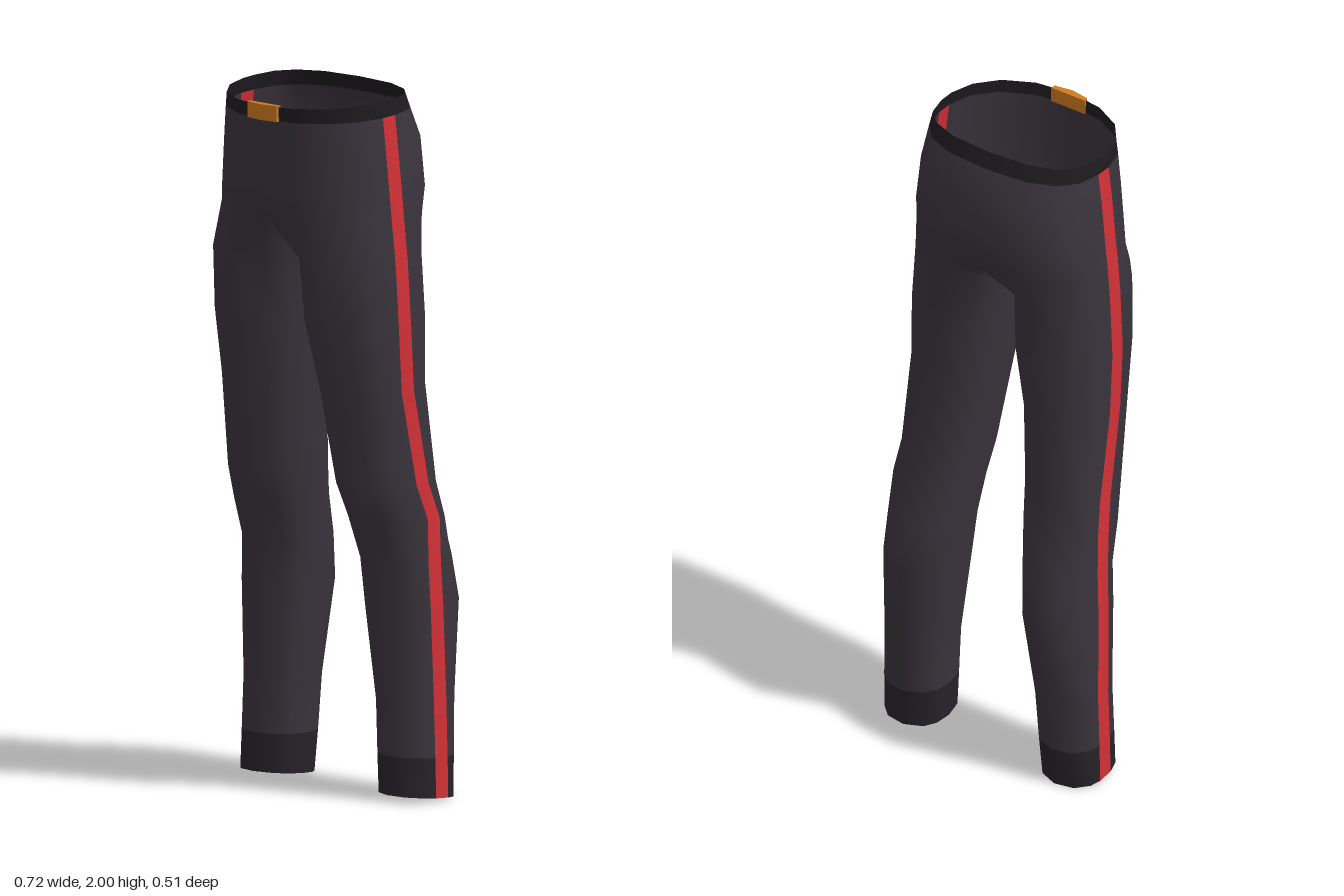
import * as THREE from 'three';
import { mergeVertices } from 'three/addons/utils/BufferGeometryUtils.js';

// Rows from waist to hem: [y front, y back, x inner, x outer, z front, z back, z of side stripe]
const HIPS = [
  [1.975, 2.0, 0, 0.265, 0.25, -0.15, 0.02],
  [1.935, 1.955, 0, 0.272, 0.248, -0.17, 0.02],
  [1.85, 1.86, 0, 0.283, 0.245, -0.217, 0.02],
  [1.72, 1.72, 0, 0.297, 0.242, -0.225, 0.018],
  [1.66, 1.64, 0, 0.305, 0.235, -0.2, 0.018],
];
const LEG = [
  [1.54, 1.54, 0.018, 0.315, 0.213, -0.16, 0.015],
  [1.36, 1.36, 0.025, 0.325, 0.195, -0.165, 0.012],
  [1.17, 1.17, 0.055, 0.325, 0.155, -0.155, 0],
  [0.9, 0.9, 0.085, 0.33, 0.12, -0.178, -0.055],
  [0.8, 0.8, 0.095, 0.345, 0.08, -0.19, -0.085],
  [0.68, 0.68, 0.11, 0.345, 0.035, -0.23, -0.088],
  [0.55, 0.55, 0.125, 0.35, 0.03, -0.255, -0.092],
  [0.28, 0.28, 0.155, 0.355, 0.01, -0.22, -0.1],
  [0.13, 0.12, 0.163, 0.36, 0.013, -0.21, -0.1],
  [0.02, 0, 0.17, 0.363, 0.015, -0.2, -0.1],
];
// Column angles; 0 marks the two edges of the side stripe
const HIP_ANGLES = [90, 68, 45, 24, 0, 0, -24, -45, -68, -90];
const LEG_ANGLES = [130, 95, 62, 32, 0, 0, -32, -62, -95, -130, -155, -180, -205];
const CROTCH = [[0, 1.6, -0.11], [0, 1.585, 0.02], [0, 1.6, 0.14]];
const STRIPE = 4; // stripe column
const STRIPE_HALF = 0.025;

function ring([yf, yb, xi, xo, zf, zb, zs], angles, isLeg) {
  const cx = isLeg ? (xi + xo) / 2 : 0;
  const rx = xo - cx;
  return angles.map((deg, c) => {
    let a = THREE.MathUtils.degToRad(deg);
    if (c === STRIPE) a = Math.asin(STRIPE_HALF / (zf - zs));
    if (c === STRIPE + 1) a = -Math.asin(STRIPE_HALF / (zs - zb));
    const s = Math.sin(a), k = Math.cos(a);
    // the seat is squarer than the front
    const p = deg === 0 ? 1 : s > 0 ? 0.92 : isLeg ? 0.9 : 0.75;
    const pow = (v) => Math.sign(v) * Math.abs(v) ** p;
    const z = zs + pow(s) * (s > 0 ? zf - zs : zs - zb);
    return [cx + pow(k) * rx, THREE.MathUtils.lerp(yb, yf, (z - zb) / (zf - zb)), z];
  });
}

// One skin for both halves, sorted into coloured parts that share smooth normals
function buildSkin() {
  const rows = [
    ...HIPS.map((r) => ring(r, HIP_ANGLES, false)),
    ...LEG.map((r) => ring(r, LEG_ANGLES, true)),
  ];
  rows[HIPS.length - 1].push(...CROTCH);
  const parts = { trousers: [], waistband: [], sideStripes: [], cuffs: [] };
  const positions = [];
  for (const side of [1, -1]) {
    const starts = rows.map((row) => {
      const start = positions.length / 3;
      row.forEach(([x, y, z]) => positions.push(side * x, y, z));
      return start;
    });
    for (let r = 0; r < rows.length - 1; r++) {
      const closed = r >= HIPS.length - 1;
      const n = closed ? LEG_ANGLES.length : HIP_ANGLES.length - 1;
      for (let c = 0; c < n; c++) {
        const next = closed ? (c + 1) % n : c + 1;
        const a = starts[r] + c, b = starts[r] + next;
        const d = starts[r + 1] + c, e = starts[r + 1] + next;
        const name = r === 0 ? 'waistband'
          : c === STRIPE ? 'sideStripes'
          : r === rows.length - 2 ? 'cuffs' : 'trousers';
        parts[name].push(...(side > 0 ? [a, d, b, b, d, e] : [a, b, d, b, e, d]));
      }
    }
  }
  let geometry = new THREE.BufferGeometry();
  geometry.setAttribute('position', new THREE.Float32BufferAttribute(positions, 3));
  geometry.setIndex(Object.values(parts).flat());
  geometry = mergeVertices(geometry, 1e-4);
  geometry.computeVertexNormals();

  const index = Array.from(geometry.index.array);
  let offset = 0;
  return Object.entries(parts).map(([name, list]) => {
    const g = new THREE.BufferGeometry();
    g.setAttribute('position', geometry.attributes.position);
    g.setAttribute('normal', geometry.attributes.normal);
    g.setIndex(index.slice(offset, offset + list.length));
    offset += list.length;
    return [name, g];
  });
}

export function createModel() {
  const group = new THREE.Group();
  group.name = 'trousers';
  const colors = { trousers: 0x3a343c, waistband: 0x1e1b1e, sideStripes: 0xd03036, cuffs: 0x272329 };
  for (const [name, geometry] of buildSkin()) {
    const mesh = new THREE.Mesh(geometry, new THREE.MeshStandardMaterial({
      color: colors[name], side: THREE.DoubleSide,
    }));
    mesh.name = name;
    group.add(mesh);
  }

  // Buckle: a shallow bent plate on the front of the waistband
  const plate = new THREE.Shape([
    [-0.057, 0.235], [0.057, 0.235], [0.055, 0.249], [0, 0.258], [-0.055, 0.249],
  ].map(([x, z]) => new THREE.Vector2(x, z)));
  const buckleGeometry = new THREE.ExtrudeGeometry(plate, { depth: 0.045, bevelEnabled: false });
  buckleGeometry.rotateX(Math.PI / 2).translate(0, 1.979, 0);
  const buckle = new THREE.Mesh(buckleGeometry, new THREE.MeshStandardMaterial({ color: 0xd07a20 }));
  buckle.name = 'buckle';
  group.add(buckle);
  return group;
}
